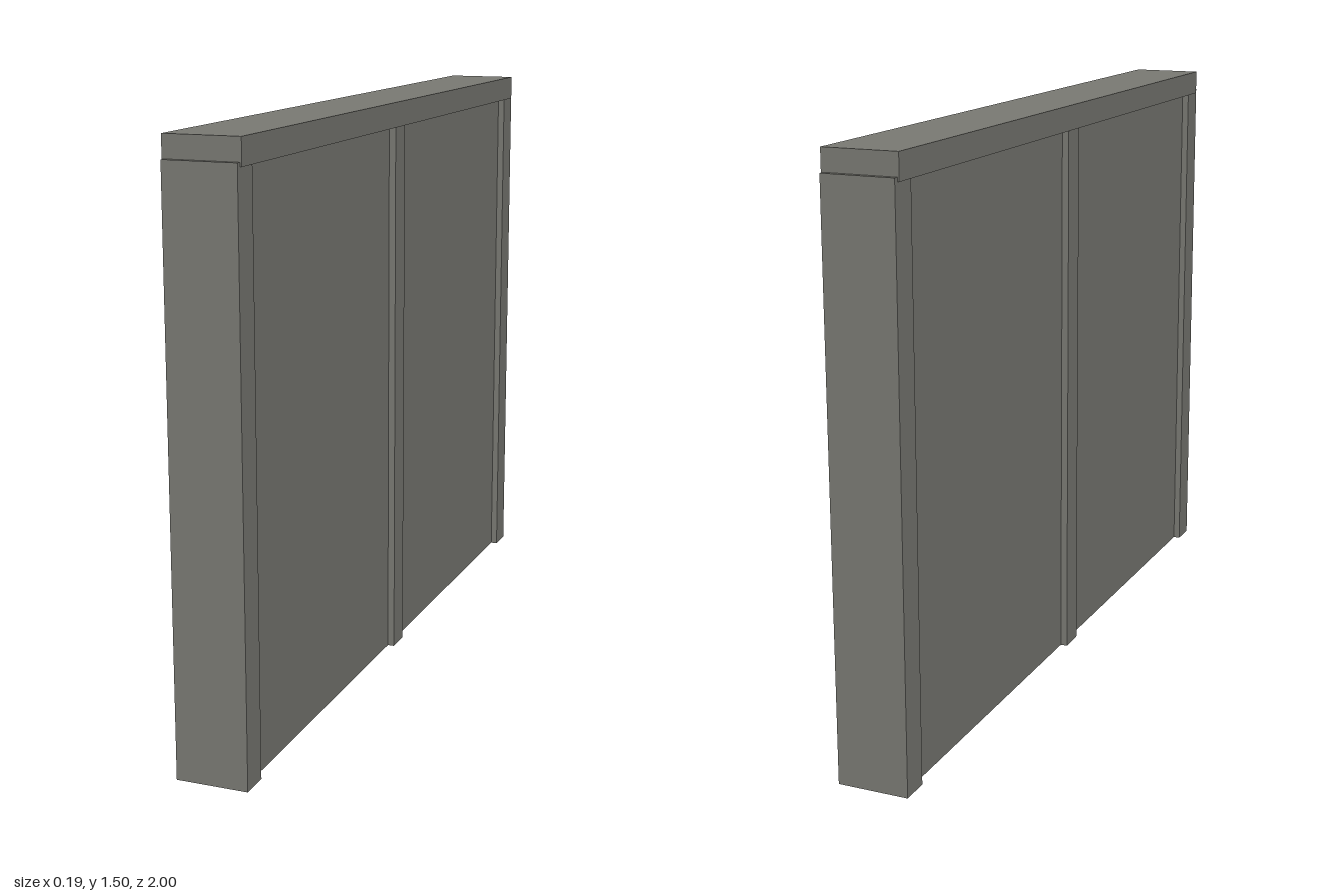
import * as THREE from 'three';

export function createModel() {
  const group = new THREE.Group();
  const concrete = new THREE.MeshStandardMaterial({ name: 'grey concrete', color: 0x7a7a74 });

  // Box given by its full width (x), its vertical range and its z range
  const block = (name, width, y0, y1, z0, z1) => {
    const mesh = new THREE.Mesh(new THREE.BoxGeometry(width, y1 - y0, z1 - z0), concrete);
    mesh.name = name;
    mesh.position.set(0, (y0 + y1) / 2, (z0 + z1) / 2);
    group.add(mesh);
  };

  // Recessed wall panels between the posts
  block('frontPanel', 0.146, 0, 1.435, 0.035, 0.925);
  block('backPanel', 0.146, 0, 1.435, -0.925, -0.035);

  // End posts stand slightly proud of the cap ends, the middle post stops under the cap
  block('frontPost', 0.182, 0, 1.445, 0.925, 1);
  block('middlePost', 0.182, 0, 1.435, -0.035, 0.035);
  block('backPost', 0.182, 0, 1.445, -1, -0.925);

  // Coping along the top
  block('cap', 0.19, 1.435, 1.5, -0.987, 0.987);

  return group;
}
